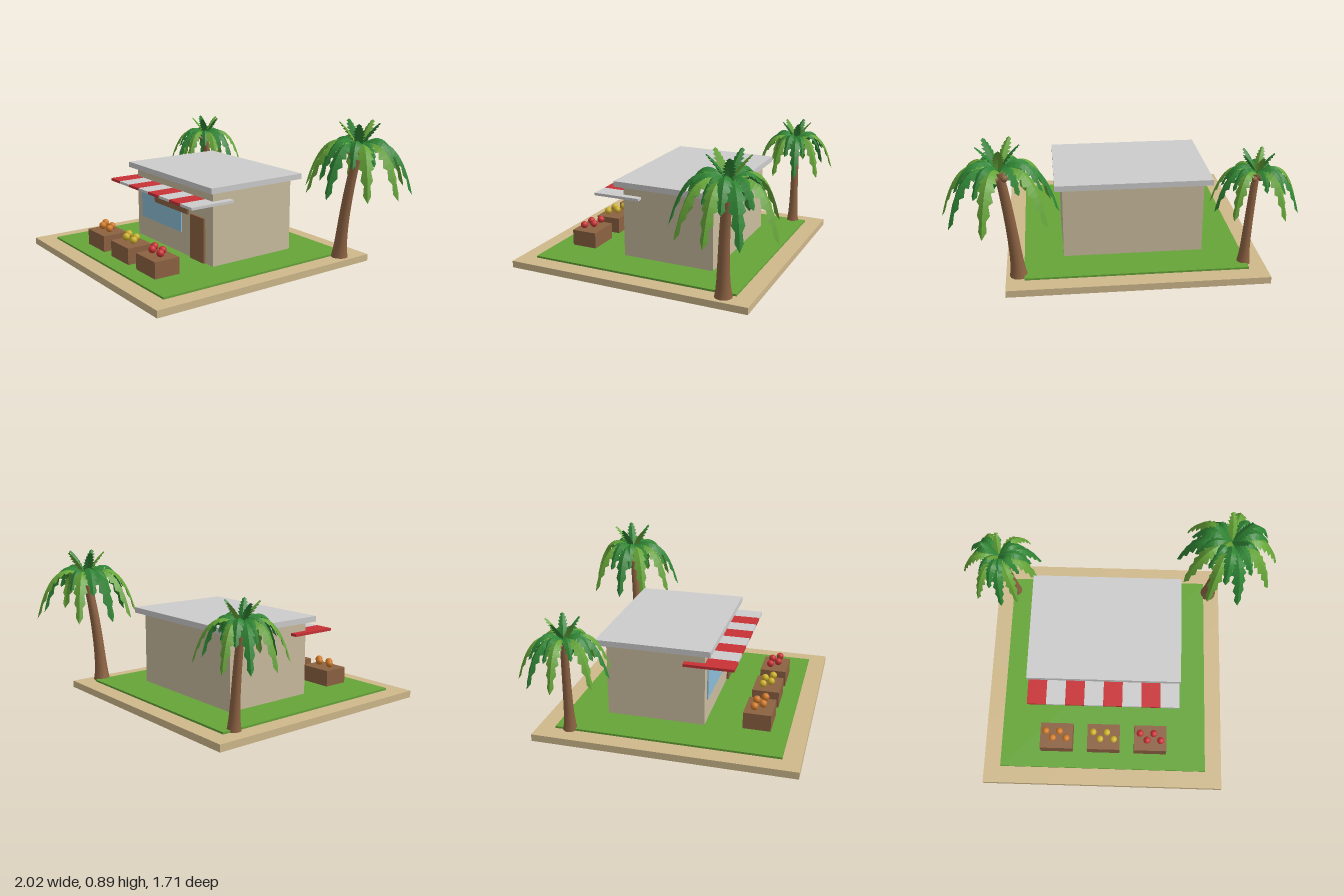
import * as THREE from 'three';

const mat = (name, color, side = THREE.FrontSide) => {
  const m = new THREE.MeshStandardMaterial({ color, side });
  m.name = name;
  return m;
};

export function createModel() {
  const M = {
    sand: mat('sand', 0xcfb98c),
    grass: mat('fresh green', 0x66a538, THREE.DoubleSide),
    wall: mat('plaster', 0xcabd9f),
    glass: mat('window blue', 0x8cbcd6),
    grey: mat('light grey', 0xcccccc),
    red: mat('red', 0xc83236),
    brown: mat('wood brown', 0x8c6242),
    orange: mat('orange', 0xd07a28),
    yellow: mat('yellow', 0xcdb02a),
    leaf: mat('deep green', 0x2f8434, THREE.DoubleSide),
  };
  const root = new THREE.Group();
  root.name = 'fruitShop';

  const add = (parent, name, geo, material, x = 0, y = 0, z = 0) => {
    const mesh = new THREE.Mesh(geo, material);
    mesh.name = name;
    mesh.position.set(x, y, z);
    parent.add(mesh);
    return mesh;
  };
  // Box given by its limits on each axis
  const block = (parent, name, material, [x0, x1], [y0, y1], [z0, z1]) =>
    add(parent, name, new THREE.BoxGeometry(x1 - x0, y1 - y0, z1 - z0), material,
      (x0 + x1) / 2, (y0 + y1) / 2, (z0 + z1) / 2);

  // Ground: a sandy slab with a slightly sagging underside, and the lawn
  const slab = new THREE.BoxGeometry(1.52, 0.042, 1.52, 4, 1, 4);
  const sp = slab.attributes.position;
  for (let i = 0; i < sp.count; i++) {
    const u = sp.getX(i) / 0.76, v = sp.getZ(i) / 0.76;
    if (sp.getY(i) < 0) sp.setY(i, sp.getY(i) - 0.012 * (1 - u * u) * (1 - v * v));
  }
  slab.computeVertexNormals();
  add(root, 'sandBase', slab, M.sand, -0.085, 0.033, 0.1);
  block(root, 'lawn', M.grass, [-0.74, 0.57], [0.05, 0.066], [-0.555, 0.755]);

  // Shop building
  const shop = new THREE.Group();
  shop.name = 'shop';
  root.add(shop);
  block(shop, 'walls', M.wall, [-0.505, 0.335], [0.06, 0.515], [-0.315, 0.27]);
  block(shop, 'roof', M.grey, [-0.55, 0.38], [0.514, 0.548], [-0.365, 0.31]);
  block(shop, 'window', M.glass, [-0.445, 0.015], [0.2, 0.4], [0.27, 0.277]);
  block(shop, 'signBoard', M.brown, [-0.275, 0.1], [0.33, 0.4], [0.276, 0.285]);
  block(shop, 'door', M.brown, [0.12, 0.26], [0.065, 0.34], [0.27, 0.283]);
  for (let i = 0; i < 8; i++) {
    const x = -0.547 + i * 0.1155;
    block(shop, 'awningStripe', i % 2 ? M.grey : M.red, [x, x + 0.1155], [0.441, 0.457], [0.15, 0.445]);
  }

  // Fruit crates, each with two staggered rows of fruit
  const fruitGeo = new THREE.SphereGeometry(0.0225, 16, 12);
  [[-0.382, M.orange], [-0.083, M.yellow], [0.215, M.red]].forEach(([cx, fruit]) => {
    const stall = new THREE.Group();
    stall.name = 'fruitCrate';
    stall.position.x = cx;
    root.add(stall);
    block(stall, 'crate', M.brown, [-0.103, 0.103], [0.06, 0.166], [0.49, 0.652]);
    [[-0.066, 0.548], [0.02, 0.548], [-0.022, 0.591], [0.064, 0.591]].forEach(
      ([x, z]) => add(stall, 'fruit', fruitGeo, fruit, x, 0.197, z));
  });

  // Leaf with toothed edges and a folded midrib, following a curve in the XY plane
  const frondGeo = (curve, width) => {
    const n = 16, pos = [], idx = [];
    for (let i = 0; i <= n; i++) {
      const t = i / n, p = curve.getPoint(t), d = curve.getTangent(t);
      const shape = 0.12 + 0.88 * Math.sin(Math.PI * Math.min(1, t * 0.85 + 0.08));
      const w = i === n ? 0 : width * shape * (i % 2 ? 1 : 0.62);
      const lean = i % 2 ? 0.35 * w : 0;
      const ex = p.x + d.x * lean + d.y * w * 0.5;
      const ey = p.y + d.y * lean - d.x * w * 0.5;
      pos.push(ex, ey, -w, p.x, p.y, 0, ex, ey, w);
      if (i < n) {
        const a = i * 3;
        for (const k of [a, a + 1]) idx.push(k, k + 1, k + 4, k, k + 4, k + 3);
      }
    }
    const indexed = new THREE.BufferGeometry();
    indexed.setAttribute('position', new THREE.Float32BufferAttribute(pos, 3));
    indexed.setIndex(idx);
    const geo = indexed.toNonIndexed();
    geo.computeVertexNormals();
    return geo;
  };
  const arc = (cx, cy, ex, ey) => new THREE.QuadraticBezierCurve(
    new THREE.Vector2(0, 0), new THREE.Vector2(cx, cy), new THREE.Vector2(ex, ey));
  const outerFrond = frondGeo(arc(0.22, 0.17, 0.32, -0.25), 0.05);
  const innerFrond = frondGeo(arc(0.16, 0.16, 0.25, -0.1), 0.045);
  const topFrond = frondGeo(arc(0.04, 0.1, 0.12, 0.165), 0.035);

  // Tapered trunk with a flared foot, swept along a gentle curve
  const trunkGeo = (foot, top, s) => {
    const path = new THREE.QuadraticBezierCurve3(foot,
      new THREE.Vector3(foot.x + (top.x - foot.x) * 0.3, (foot.y + top.y) / 2, foot.z), top);
    const geo = new THREE.CylinderGeometry(1, 1, 1, 12, 14);
    const p = geo.attributes.position;
    for (let i = 0; i < p.count; i++) {
      const t = p.getY(i) + 0.5, c = path.getPoint(t);
      const r = s * (0.036 - 0.01 * t + 0.018 * Math.exp(-t * 9));
      p.setXYZ(i, c.x + p.getX(i) * r, c.y, c.z + p.getZ(i) * r);
    }
    geo.computeVertexNormals();
    return geo;
  };

  const palm = (foot, top, s, angles) => {
    const tree = new THREE.Group();
    tree.name = 'palmTree';
    root.add(tree);
    add(tree, 'trunk', trunkGeo(foot, top, s), M.brown);
    const crown = new THREE.Group();
    crown.name = 'crown';
    crown.position.copy(top);
    crown.scale.setScalar(s);
    tree.add(crown);
    angles.forEach((deg, i) => {
      const outer = add(crown, 'outerFrond', outerFrond, i % 3 === 2 ? M.leaf : M.grass);
      outer.rotation.y = -THREE.MathUtils.degToRad(deg);
      const inner = add(crown, 'innerFrond', innerFrond, M.leaf, 0, 0.01, 0);
      inner.rotation.y = -THREE.MathUtils.degToRad(deg + 19);
      inner.scale.setScalar(0.8 + 0.1 * (i % 3));
    });
    for (let i = 0; i < 5; i++) {
      const upper = add(crown, 'topFrond', topFrond, i % 2 ? M.grass : M.leaf);
      upper.rotation.y = i * 1.257 + 0.4;
    }
    // Coconuts under the crown
    for (let i = 0; i < 4; i++) {
      const a = i * 1.571 + 0.6;
      add(crown, 'coconut', new THREE.SphereGeometry(0.021, 12, 8), M.brown,
        0.036 * Math.cos(a), -0.03, 0.036 * Math.sin(a));
    }
  };
  palm(new THREE.Vector3(0.6, 0.045, -0.49), new THREE.Vector3(0.677, 0.725, -0.54), 1,
    [-142, -74, -32, 1, 36, 79, 114, 150, 180]);
  palm(new THREE.Vector3(-0.725, 0.045, -0.47), new THREE.Vector3(-0.768, 0.62, -0.458), 0.8,
    [-118, -50, -15, 18, 64, 88, 125, 176, -150]);

  return root;
}
